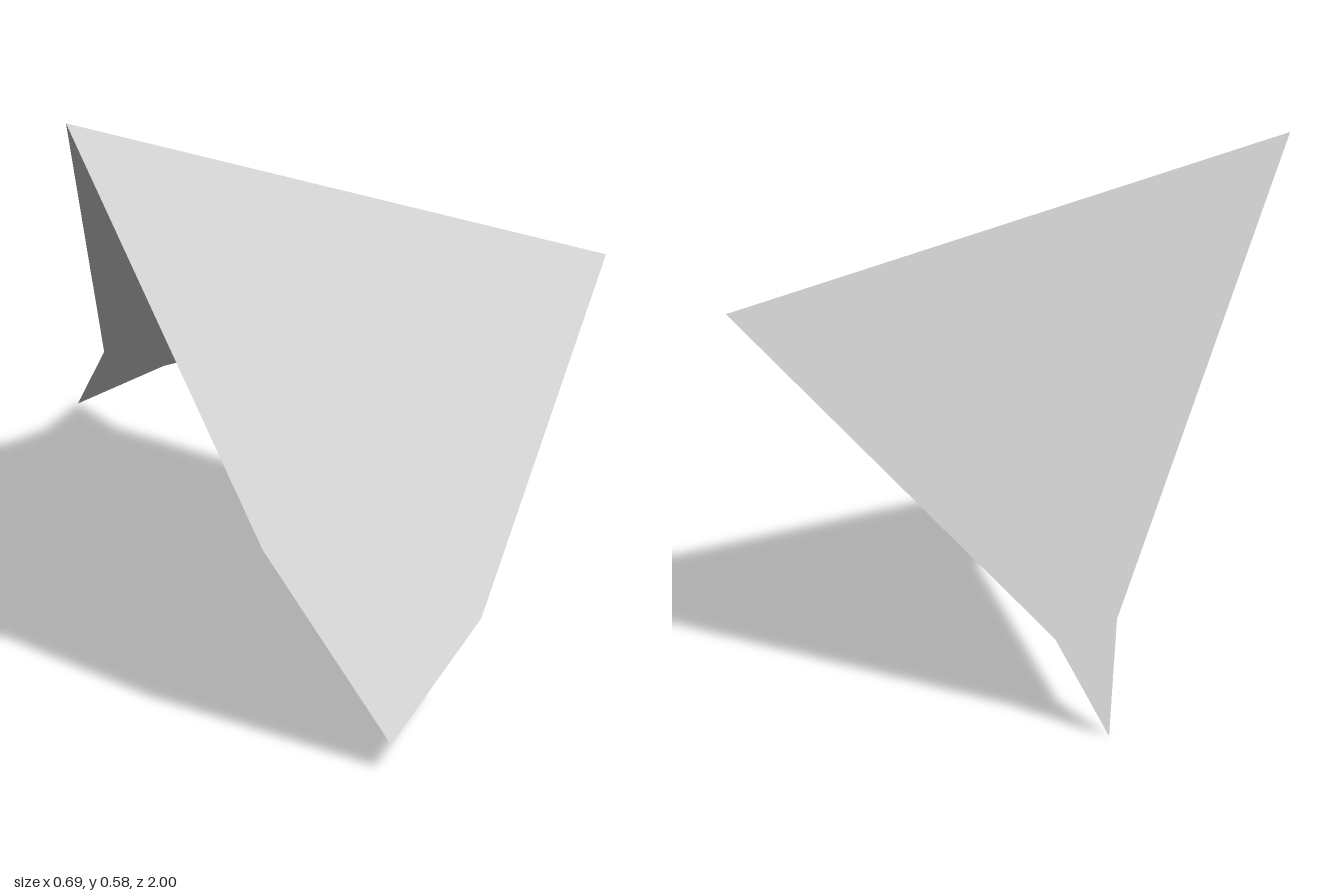
import * as THREE from 'three';

const RIDGE_Z = -0.045;

// Height of the tilted sheet: the ridge falls towards +x, both panels fall away from it
const heightAt = (x, z) => 0.59 - 0.308 * (x + 0.348) - 0.508 * Math.abs(z - RIDGE_Z);

// Flat panel from its plan outline of [x, z] corners, lifted onto the sloping sheet
function panel(name, outline, material) {
  const shape = new THREE.Shape(outline.map(([x, z]) => new THREE.Vector2(x, -z)));
  const geometry = new THREE.ShapeGeometry(shape);
  const pos = geometry.attributes.position;
  for (let i = 0; i < pos.count; i++) {
    const x = pos.getX(i), z = -pos.getY(i);
    pos.setXYZ(i, x, Math.max(0, heightAt(x, z)), z);
  }
  geometry.computeVertexNormals();
  const mesh = new THREE.Mesh(geometry, material);
  mesh.name = name;
  return mesh;
}

export function createModel() {
  const group = new THREE.Group();
  group.name = 'foldedSheet';
  const grey = new THREE.MeshStandardMaterial({ color: 0xcccccc, side: THREE.DoubleSide });
  grey.name = 'light grey';

  // The two ends of the fold
  const high = [-0.348, RIDGE_Z], low = [0.346, RIDGE_Z];

  // Broad front panel with a blunt skewed point
  group.add(panel('frontPanel', [high, [-0.331, 0.685], [-0.268, 1], [-0.06, 0.715], low], grey));

  // Back panel narrowing to a needle tip
  group.add(panel('backPanel', [low, [0.021, -0.8], [-0.024, -1], [-0.055, -0.8], high], grey));

  return group;
}
